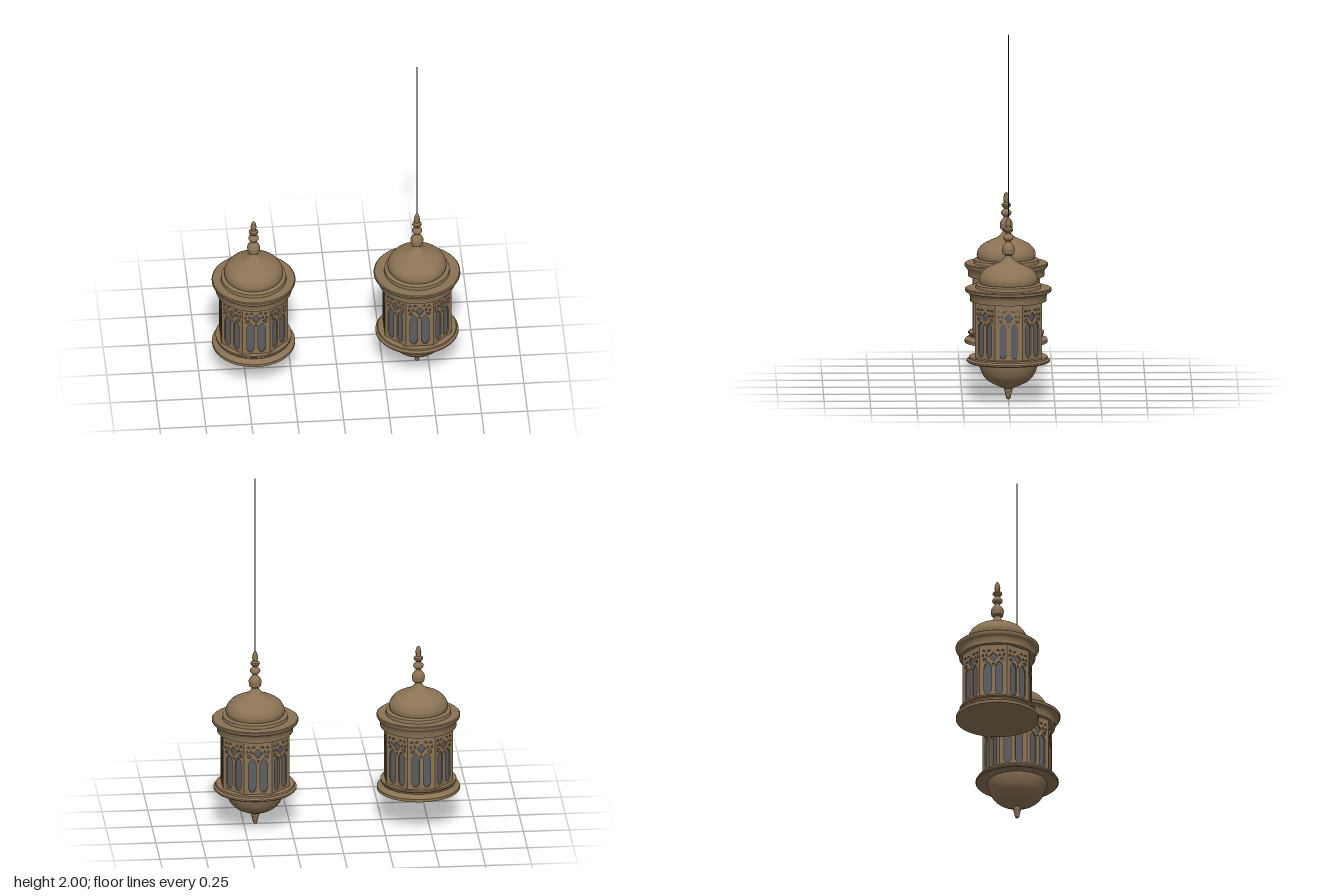
import * as THREE from 'three';
import { toCreasedNormals } from 'three/addons/utils/BufferGeometryUtils.js';

const bronze = new THREE.MeshStandardMaterial({ color: 0x8b7355 });
bronze.name = 'bronze';
const glass = new THREE.MeshStandardMaterial({ color: 0x5c5d62 });
glass.name = 'smoked glass';
const cordMat = new THREE.MeshStandardMaterial({ color: 0x2c2c36 });
cordMat.name = 'dark cord';

const APOTHEM = 0.181, DEPTH = 0.012, BOTTOM = 0.235, TOP = 0.55;
const HALF = APOTHEM * Math.tan(Math.PI / 8);

function mesh(name, geometry, material) {
  const m = new THREE.Mesh(geometry, material);
  m.name = name;
  return m;
}

// Turned part from [radius, height] pairs, bottom to top
function turned(name, profile) {
  const pts = profile.map(([r, y]) => new THREE.Vector2(r, y));
  return mesh(name, toCreasedNormals(new THREE.LatheGeometry(pts, 56), 0.6), bronze);
}

// Smooth run through a few profile points
function smooth(profile, n) {
  const curve = new THREE.SplineCurve(profile.map(([r, y]) => new THREE.Vector2(r, y)));
  return curve.getPoints(n).map(p => [Math.max(p.x, 0), p.y]);
}

function polygonHole(points) {
  return new THREE.Path(points.map(([x, y]) => new THREE.Vector2(x, y)));
}

// Pierced panel: two lancet windows, a diamond and small tracery openings
function panelGeometry() {
  const s = new THREE.Shape();
  s.moveTo(-HALF, BOTTOM);
  s.lineTo(HALF, BOTTOM);
  s.lineTo(HALF, TOP);
  s.lineTo(-HALF, TOP);
  s.closePath();
  for (const side of [-1, 1]) {
    const c = side * 0.031, w = 0.02;
    const p = new THREE.Path();
    p.moveTo(c - w * 0.5, 0.25);
    p.lineTo(c + w * 0.5, 0.25);
    p.lineTo(c + w, 0.272);
    p.lineTo(c + w, 0.405);
    p.quadraticCurveTo(c + w, 0.425, c, 0.445);
    p.quadraticCurveTo(c - w, 0.425, c - w, 0.405);
    p.lineTo(c - w, 0.272);
    p.closePath();
    s.holes.push(p);
    const m = list => s.holes.push(polygonHole(list.map(([x, y]) => [side * x, y])));
    m([[0.034, 0.458], [0.046, 0.444], [0.058, 0.45], [0.052, 0.466]]);
    m([[0.03, 0.472], [0.042, 0.478], [0.036, 0.492]]);
    m([[0.05, 0.478], [0.061, 0.472], [0.06, 0.492]]);
    m([[0.012, 0.508], [0.034, 0.502], [0.028, 0.514]]);
    m([[0.042, 0.503], [0.062, 0.504], [0.052, 0.516]]);
  }
  s.holes.push(polygonHole([[0, 0.443], [0.024, 0.473], [0, 0.498], [-0.024, 0.473]]));
  s.holes.push(polygonHole([[0, 0.418], [0.006, 0.43], [0, 0.436], [-0.006, 0.43]]));
  const g = new THREE.ExtrudeGeometry(s, { depth: DEPTH, bevelEnabled: false, curveSegments: 5 });
  g.translate(0, 0, APOTHEM - DEPTH);
  return g;
}

function lantern(name, rim, panel) {
  const g = new THREE.Group();
  g.name = name;

  // Eight-sided body
  const r = (APOTHEM - 0.008) / Math.cos(Math.PI / 8);
  const core = new THREE.CylinderGeometry(r, r, TOP - BOTTOM, 8);
  core.rotateY(Math.PI / 8);
  core.translate(0, (TOP + BOTTOM) / 2, 0);
  g.add(mesh('windowPanes', core.toNonIndexed(), glass));
  g.children[0].geometry.computeVertexNormals();
  for (let i = 0; i < 8; i++) {
    const p = mesh('piercedPanel', panel, bronze);
    p.rotation.y = i * Math.PI / 4;
    g.add(p);
  }

  // Cornice with its flared rim
  g.add(turned('cornice', [
    [0, 0.542], [0.207, 0.542], [0.207, 0.562],
    ...smooth([[0.208, 0.566], [0.212, 0.58], [0.222, 0.59]], 5),
    [rim - 0.004, 0.593], [rim, 0.6], [rim, 0.609], [rim - 0.005, 0.613],
    [0.178, 0.613], [0.176, 0.632], [0.162, 0.638], [0, 0.638]
  ]));

  // Onion dome
  g.add(turned('dome', smooth([
    [0.154, 0.634], [0.16, 0.655], [0.154, 0.682], [0.132, 0.71], [0.098, 0.73],
    [0.058, 0.748], [0.032, 0.766], [0.02, 0.784], [0.018, 0.8]
  ], 30)));

  // Stacked bead finial
  g.add(turned('finial', [
    [0.018, 0.79], [0.031, 0.798], [0.034, 0.808],
    ...smooth([[0.033, 0.812], [0.035, 0.828], [0.028, 0.845], [0.015, 0.86], [0.014, 0.868]], 10),
    ...smooth([[0.022, 0.874], [0.028, 0.884], [0.026, 0.895], [0.015, 0.906]], 7),
    [0.013, 0.912], [0.02, 0.918], [0.026, 0.928], [0.024, 0.936], [0.014, 0.944],
    ...smooth([[0.013, 0.95], [0.016, 0.965], [0.011, 0.988], [0.005, 0.998], [0, 1.0]], 8)
  ]));
  return g;
}

export function createModel() {
  const model = new THREE.Group();
  model.name = 'lanternPair';
  const panel = panelGeometry();

  // Standing lantern on a stepped flat base
  const standing = lantern('standingLantern', 0.227, panel);
  standing.add(turned('steppedBase', [
    [0, 0.178], [0.225, 0.178], [0.225, 0.194], [0.219, 0.2], [0.206, 0.206],
    [0.199, 0.214], [0.2, 0.222], [0.206, 0.228], [0.206, 0.237], [0, 0.24]
  ]));
  standing.position.x = -0.451;

  // Hanging lantern with a ledge, a bowl and a drop
  const hanging = lantern('hangingLantern', 0.235, panel);
  hanging.add(turned('lowerLedge', [
    [0, 0.206], [0.22, 0.206], [0.226, 0.212], [0.225, 0.219],
    [0.215, 0.228], [0.213, 0.237], [0, 0.24]
  ]));
  hanging.add(turned('bowl', smooth([
    [0, 0.055], [0.03, 0.064], [0.065, 0.08], [0.105, 0.1], [0.135, 0.13],
    [0.152, 0.165], [0.161, 0.195], [0.163, 0.21]
  ], 24)));
  hanging.add(turned('drop', smooth([
    [0, 0], [0.01, 0.004], [0.014, 0.02], [0.018, 0.038], [0.022, 0.05], [0.022, 0.064]
  ], 12)));
  const cord = new THREE.CylinderGeometry(0.003, 0.003, 1.01, 8);
  cord.translate(0, 1.495, 0);
  hanging.add(mesh('cord', cord, cordMat));
  hanging.position.x = 0.438;

  model.add(standing, hanging);
  return model;
}
